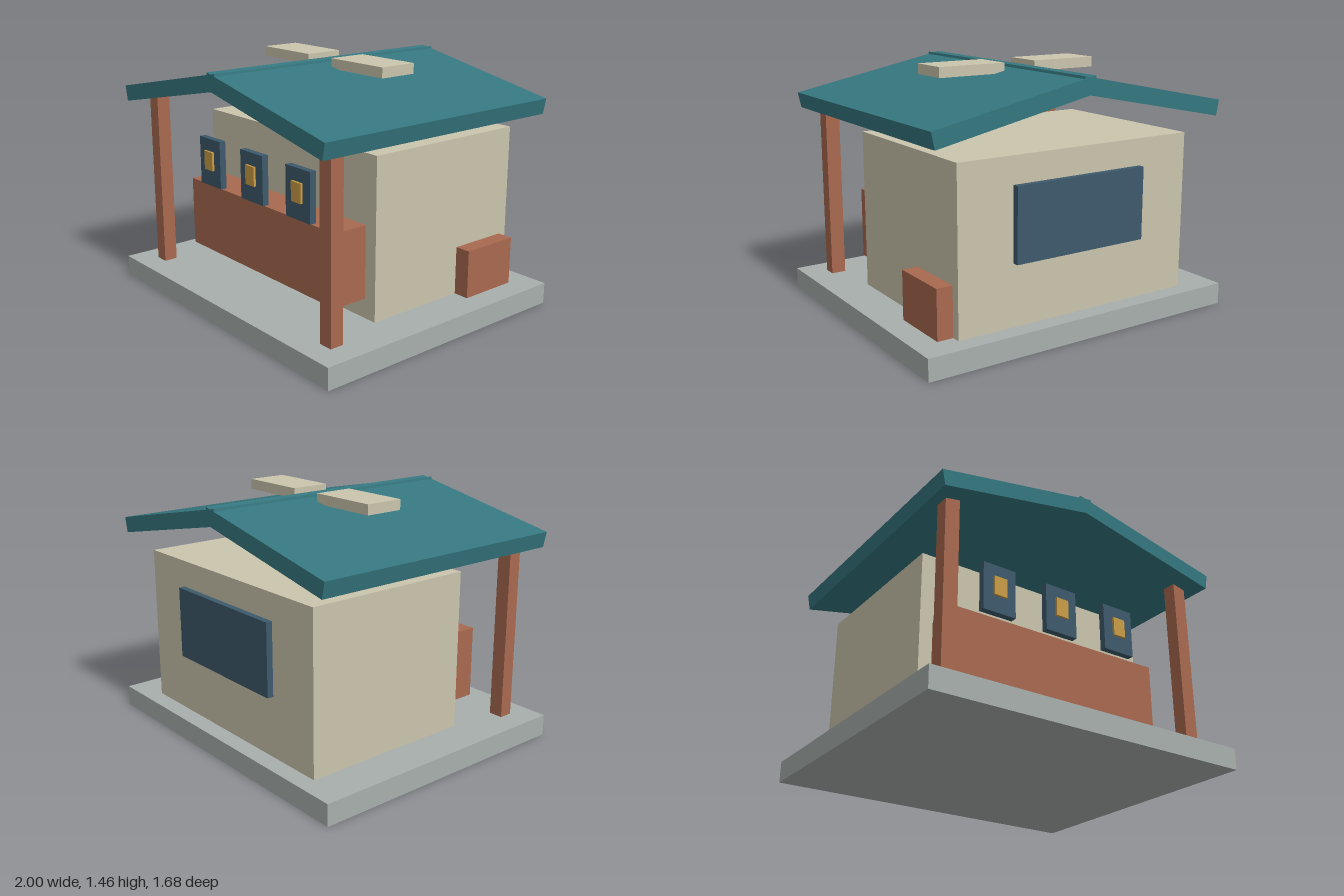
import * as THREE from 'three';

const material = (name, color) => {
  const m = new THREE.MeshStandardMaterial({ color });
  m.name = name;
  return m;
};

export function createModel() {
  const model = new THREE.Group();
  model.name = 'kiosk';

  const stone = material('stone grey', 0xa8afad);
  const plaster = material('plaster cream', 0xcbc5ad);
  const clay = material('clay red', 0xa8694f);
  const teal = material('roof teal', 0x35777f);
  const navy = material('panel blue', 0x3d5a6c);
  const amber = material('amber', 0xc99c45);

  // Box given by its extents along each axis
  const block = (name, mat, [x0, x1], [y0, y1], [z0, z1]) => {
    const mesh = new THREE.Mesh(new THREE.BoxGeometry(x1 - x0, y1 - y0, z1 - z0), mat);
    mesh.position.set((x0 + x1) / 2, (y0 + y1) / 2, (z0 + z1) / 2);
    mesh.name = name;
    model.add(mesh);
    return mesh;
  };

  // Base, building body and service counter
  block('baseSlab', stone, [-1, 1], [0, 0.126], [-0.84, 0.84]);
  block('body', plaster, [-0.763, 0.763], [0.126, 1.055], [-0.735, 0.315]);
  block('counter', clay, [-0.683, 0.683], [0.24, 0.66], [0.315, 0.53]);

  // Side bench and rear panel
  block('sideBench', clay, [0.763, 0.857], [0.126, 0.41], [-0.682, -0.315]);
  block('rearPanel', navy, [-0.425, 0.425], [0.48, 0.9], [-0.772, -0.735]);

  // Three display panels with amber inserts above the counter
  for (const x of [-0.42, 0, 0.42]) {
    block('displayPanel', navy, [x - 0.105, x + 0.105], [0.675, 0.963], [0.525, 0.565]);
    block('displayInsert', amber, [x - 0.041, x + 0.041], [0.775, 0.888], [0.565, 0.579]);
  }

  // Mirrored posts, roof slopes and roof vents
  const slope = Math.atan(0.2026);
  const length = 1.002;
  const thickness = 0.093;
  for (const side of [-1, 1]) {
    const post = block('frontPost', clay, [0.77, 0.856], [0.126, 1.19], [0.62, 0.702]);
    post.position.x *= side;

    // Each slope runs slightly past the centre line, crossing at the ridge
    const roof = new THREE.Mesh(new THREE.BoxGeometry(length, thickness, 1.63), teal);
    roof.name = 'roofSlope';
    roof.rotation.z = -side * slope;
    roof.position.set(
      side * (0.456 - Math.sin(slope) * thickness / 2),
      1.3375 - Math.cos(slope) * thickness / 2,
      0
    );
    model.add(roof);

    const vent = block('roofVent', plaster, [0.104, 0.528], [1.395, 1.455], [-0.17, 0.067]);
    vent.position.x *= side;
  }

  return model;
}
